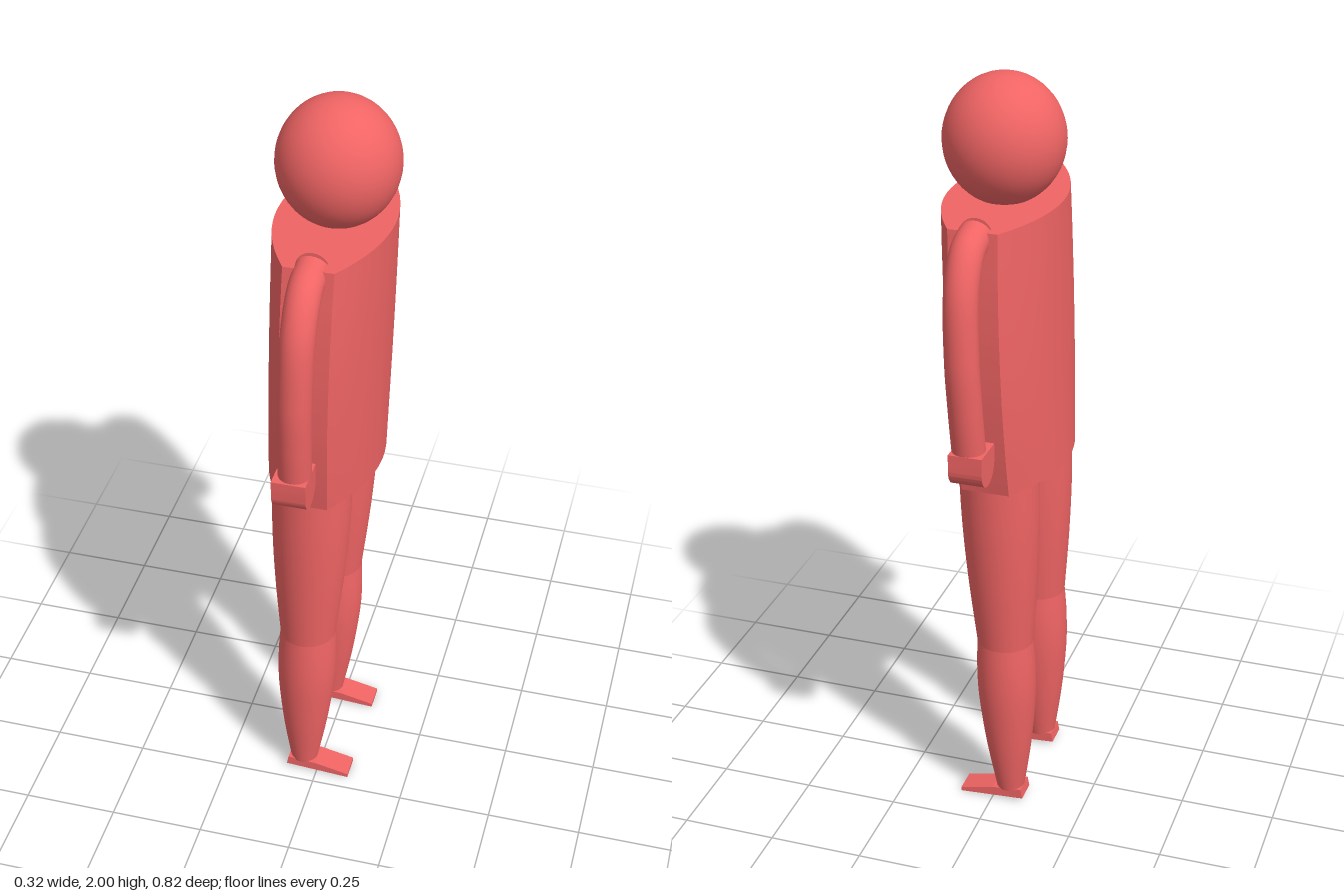
import * as THREE from 'three';
import { toCreasedNormals } from 'three/addons/utils/BufferGeometryUtils.js';

const material = new THREE.MeshStandardMaterial({ color: 0xf06464, side: THREE.DoubleSide });
const lerp = THREE.MathUtils.lerp;

function part(name, geometry, parent) {
  const mesh = new THREE.Mesh(geometry, material);
  mesh.name = name;
  parent.add(mesh);
  return mesh;
}

// Applies rule(vector) to every vertex
function moveVertices(geometry, rule) {
  const p = geometry.attributes.position, v = new THREE.Vector3();
  for (let i = 0; i < p.count; i++) {
    v.fromBufferAttribute(p, i);
    rule(v);
    p.setXYZ(i, v.x, v.y, v.z);
  }
  return geometry;
}

// Lens-shaped body with blunt ends, leaning slightly forward and bulging at mid height
function torsoGeometry() {
  const shape = new THREE.Shape();
  const n = 16;
  for (let side = 1; side >= -1; side -= 2) {
    for (let i = 0; i <= n; i++) {
      const u = side * (-1 + 2 * i / n);
      const x = side * (0.062 + 0.083 * (1 - u * u));
      if (side === 1 && i === 0) shape.moveTo(x, u);
      else shape.lineTo(x, u);
    }
  }
  const g = new THREE.ExtrudeGeometry(shape, { depth: 1, steps: 8, bevelEnabled: false });
  g.rotateX(-Math.PI / 2);
  moveVertices(g, (v) => {
    const t = v.y, u = v.z;
    const halfWidth = lerp(0.247, 0.26, t) + 0.1 * t * (1 - t);
    v.x += lerp(-0.015, 0.003, t);
    v.y = lerp(0.993, 1.692, t) + 0.006 * u;
    v.z = u * halfWidth + lerp(0.014, -0.003, t);
  });
  return toCreasedNormals(g, 0.5);
}

// Smooth round limb section from [radius, height] pairs, following the leg's slanted axis
function legGeometry(profile, zTop, zBottom) {
  const curve = new THREE.SplineCurve(profile.map(([r, y]) => new THREE.Vector2(r, y)));
  const g = new THREE.LatheGeometry(curve.getPoints(14), 32);
  return moveVertices(g, (v) => {
    v.x += lerp(-0.043, -0.018, v.y);
    v.z += lerp(zBottom, zTop, v.y);
  });
}

function addLeg(name, zTop, zBottom, parent) {
  const leg = new THREE.Group();
  leg.name = name;
  parent.add(leg);
  part('thigh', legGeometry([[0.074, 0.5], [0.09, 0.68], [0.1, 0.85], [0.103, 1.01]], zTop, zBottom), leg);
  part('shin', legGeometry([[0.037, 0.03], [0.06, 0.17], [0.076, 0.32], [0.078, 0.42], [0.074, 0.5]], zTop, zBottom), leg);

  // Thin wedge foot, toes toward +x
  const outline = new THREE.Shape();
  [[-0.085, 0.011], [0.09, 0], [0.09, 0.011], [0.0, 0.031], [-0.08, 0.038]]
    .forEach(([x, y], i) => (i ? outline.lineTo(x, y) : outline.moveTo(x, y)));
  const foot = new THREE.ExtrudeGeometry(outline, { depth: 0.066, bevelEnabled: false });
  foot.translate(0, 0, zBottom - 0.033);
  part('foot', foot, leg);
}

function addArm(name, path, handY, handZ, parent) {
  const arm = new THREE.Group();
  arm.name = name;
  parent.add(arm);
  const points = path.map(([x, y, z]) => new THREE.Vector3(x, y, z));
  part('sleeve', new THREE.TubeGeometry(new THREE.CatmullRomCurve3(points), 40, 0.042, 24), arm);

  // Flat ends of the sleeve
  const shoulderCap = part('shoulderCap', new THREE.CircleGeometry(0.042, 24), arm);
  shoulderCap.position.copy(points[0]);
  shoulderCap.lookAt(points[0].clone().multiply(new THREE.Vector3(1, 1, 0)));

  // Mitten: flat on top, rounded below, running along x
  const r = 0.048;
  const outline = new THREE.Shape();
  outline.moveTo(-r, 0.044);
  outline.lineTo(-r, 0);
  outline.absarc(0, 0, r, Math.PI, Math.PI * 2, false);
  outline.lineTo(r, 0.044);
  outline.closePath();
  let hand = new THREE.ExtrudeGeometry(outline, { depth: 0.086, bevelEnabled: false, curveSegments: 20 });
  hand.rotateY(Math.PI / 2);
  hand.translate(-0.057, handY, handZ);
  hand = toCreasedNormals(hand, 0.6);
  part('hand', hand, arm);
}

export function createModel() {
  const figure = new THREE.Group();
  figure.name = 'figure';

  const head = part('head', new THREE.SphereGeometry(0.152, 40, 28), figure);
  head.scale.y = 1.07;
  head.position.set(0.006, 1.837, -0.011);

  part('torso', torsoGeometry(), figure);

  addLeg('leftLeg', 0.16, 0.178, figure);
  addLeg('rightLeg', -0.129, -0.108, figure);

  addArm('leftArm', [
    [0.003, 1.68, 0.22], [0.003, 1.66, 0.292], [0.002, 1.575, 0.348],
    [-0.003, 1.4, 0.367], [-0.007, 1.27, 0.36], [-0.01, 1.15, 0.347],
  ], 1.128, 0.348, figure);
  addArm('rightArm', [
    [0.003, 1.67, -0.238], [0.003, 1.65, -0.3], [0.002, 1.57, -0.348],
    [-0.003, 1.4, -0.364], [-0.007, 1.27, -0.355], [-0.01, 1.14, -0.337],
  ], 1.112, -0.334, figure);

  return figure;
}
